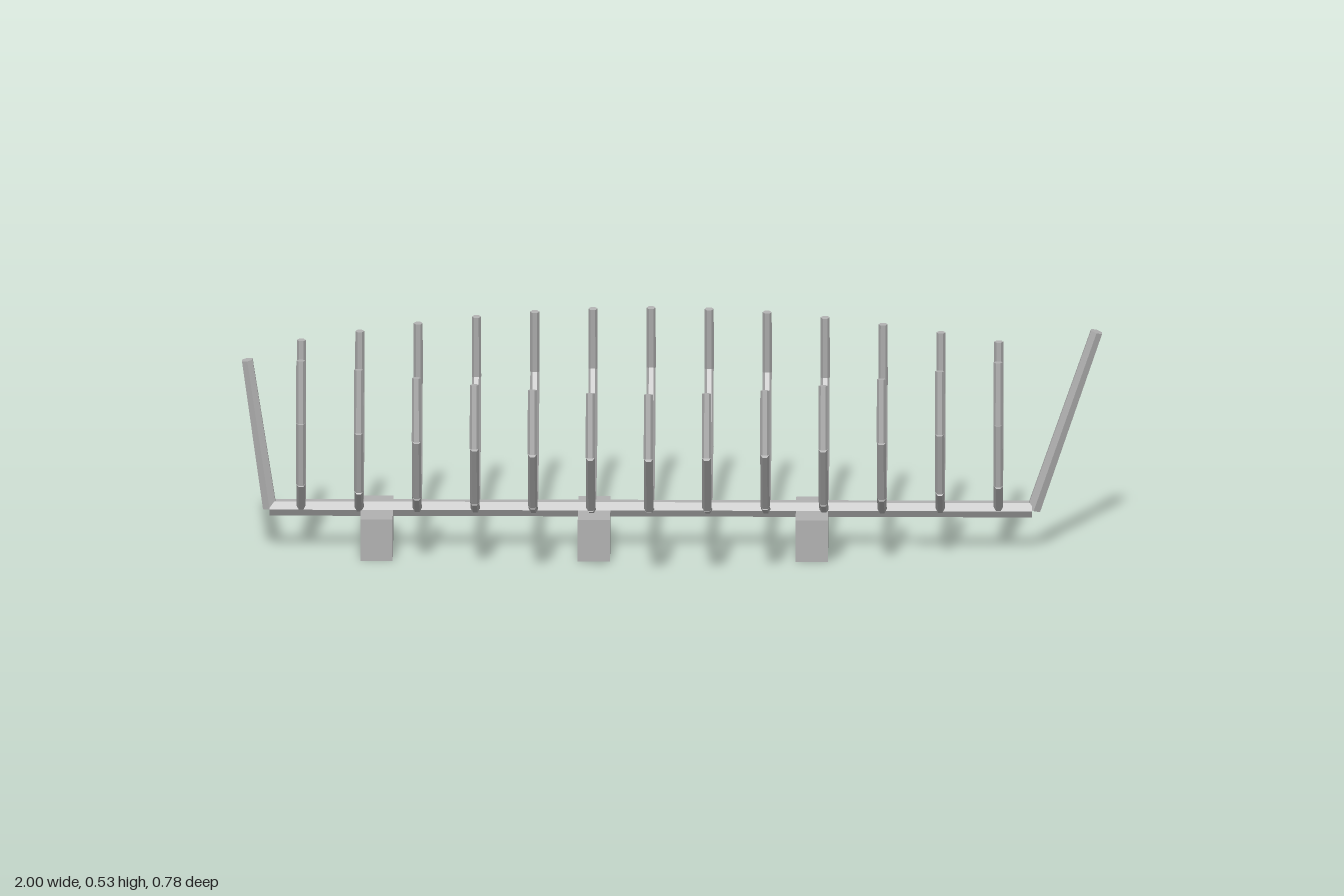
import * as THREE from 'three';

const wood = new THREE.MeshStandardMaterial({ color: 0xb0b0b0, flatShading: true });
wood.name = 'plain grey';

// Six-sided beam between two points; spin turns its corners about its own axis
function beam(name, a, b, rStart, rEnd, spin = 0) {
  const from = new THREE.Vector3(...a), to = new THREE.Vector3(...b);
  const dir = to.clone().sub(from);
  const geo = new THREE.CylinderGeometry(rEnd, rStart, dir.length(), 6, 1, false, spin);
  const mesh = new THREE.Mesh(geo, wood);
  mesh.name = name;
  mesh.position.copy(from).add(to).multiplyScalar(0.5);
  mesh.quaternion.setFromUnitVectors(new THREE.Vector3(0, 1, 0), dir.normalize());
  return mesh;
}

export function createModel() {
  const model = new THREE.Group();
  model.name = 'shipSkeleton';

  // Keel with a raked post at each end
  model.add(beam('keel', [-0.935, 0.1, 0], [0.836, 0.1, 0], 0.02, 0.02));
  model.add(beam('sternPost', [-0.935, 0.1, 0], [-0.987, 0.457, 0], 0.018, 0.0145));
  model.add(beam('stemPost', [0.84, 0.1, 0], [0.986, 0.53, 0], 0.018, 0.0155));

  // Support blocks under the keel
  for (const x of [-0.686, -0.181, 0.325]) {
    const block = new THREE.Mesh(new THREE.BoxGeometry(0.075, 0.1, 0.2), wood);
    block.name = 'supportBlock';
    block.position.set(x, 0.05, 0);
    model.add(block);
  }

  // Paired ribs, widest amidships; each is three straight timbers
  const count = 13;
  for (let i = 0; i < count; i++) {
    const x = -0.862 + i * 0.135;
    const w = Math.sin((Math.PI * (i + 1)) / (count + 1));
    for (const side of [1, -1]) {
      const rib = new THREE.Group();
      rib.name = side > 0 ? 'frontRib' : 'backRib';
      const points = [
        [0.1, 0], [0.175, 0.255], [0.33, 0.373], [0.48, 0.353],
      ].map(([y, reach]) => [x, y, side * (0.0075 + reach * w)]);
      ['floorTimber', 'bilgeTimber', 'topTimber'].forEach((name, k) =>
        rib.add(beam(name, points[k], points[k + 1], 0.011, 0.0105, Math.PI / 2)));
      model.add(rib);
    }
  }
  return model;
}
